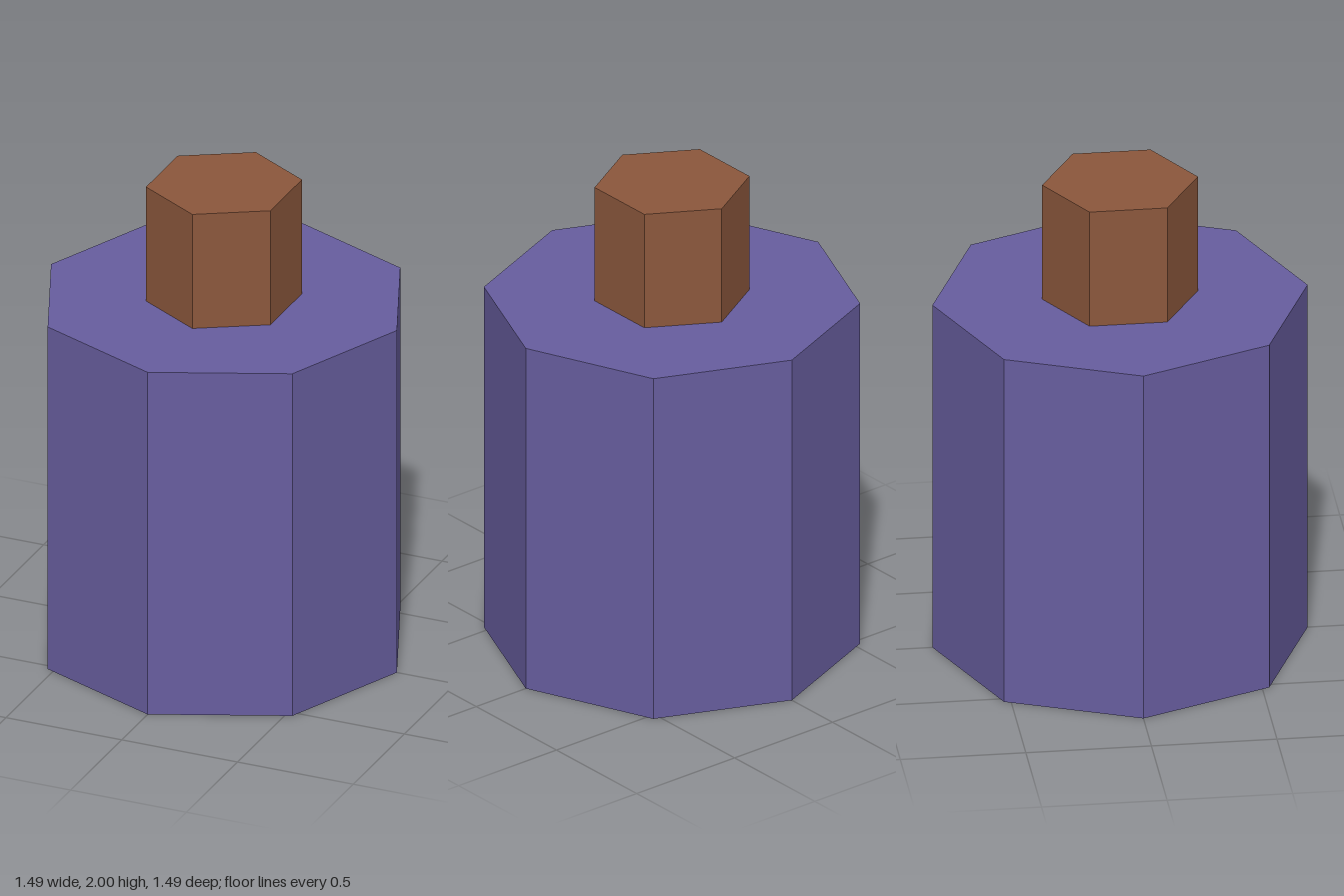
import * as THREE from 'three';

// Upright prism with one corner facing +z
function prism(name, radius, sides, bottom, top, material) {
  const height = top - bottom;
  const mesh = new THREE.Mesh(new THREE.CylinderGeometry(radius, radius, height, sides), material);
  mesh.name = name;
  mesh.position.y = bottom + height / 2;
  return mesh;
}

function flatMaterial(name, color) {
  const material = new THREE.MeshStandardMaterial({ color, flatShading: true });
  material.name = name;
  return material;
}

export function createModel() {
  const model = new THREE.Group();
  model.name = 'bottle';
  const purple = flatMaterial('purple', 0x675d9e);
  const brown = flatMaterial('brown', 0x8b573c);

  // Eight-sided body and six-sided stopper
  model.add(prism('body', 0.747, 8, 0, 1.5, purple));
  model.add(prism('stopper', 0.31, 6, 1.5, 2, brown));
  return model;
}
